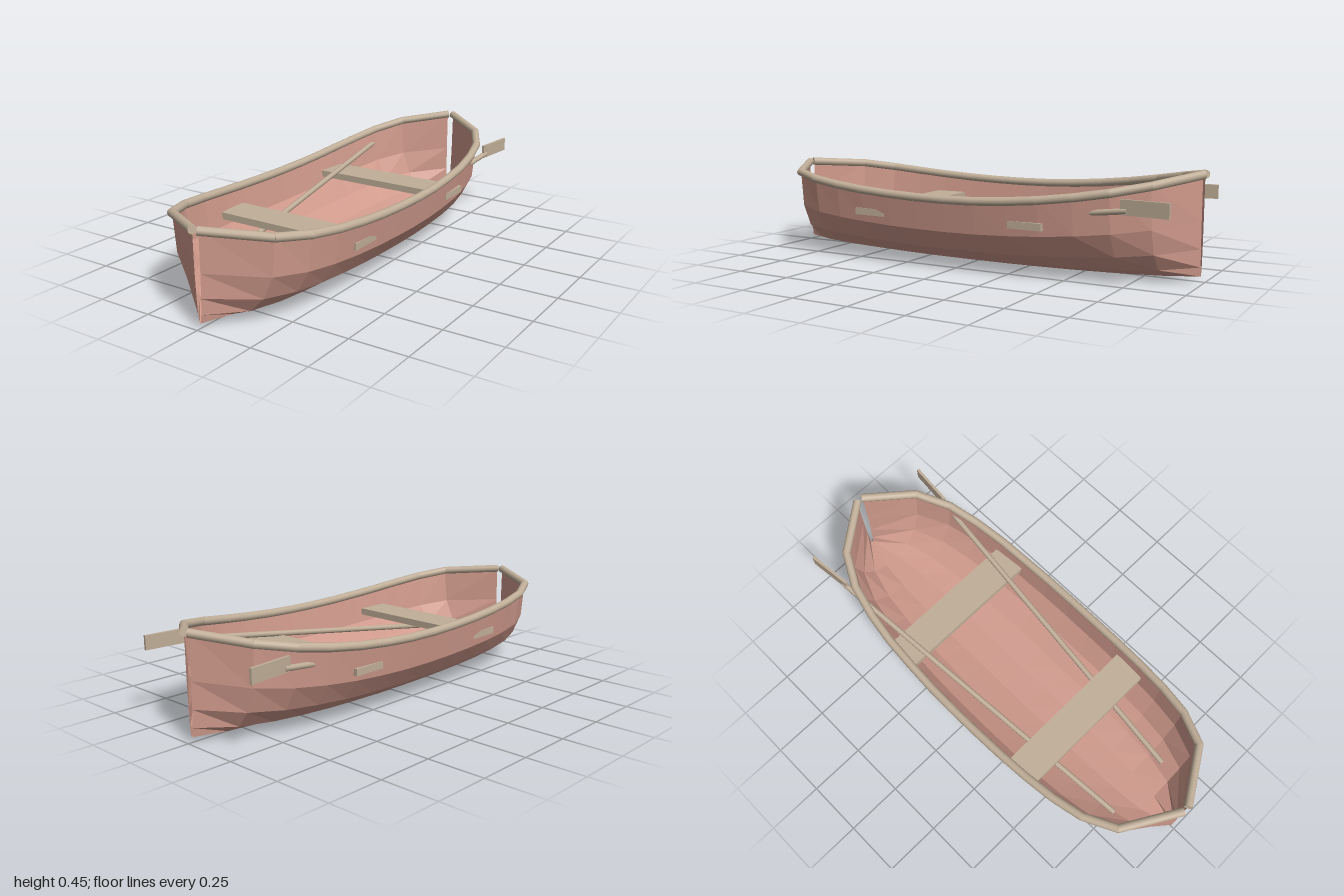
import * as THREE from 'three';

const hullPaint = new THREE.MeshStandardMaterial({ color: 0xd09a8c, flatShading: true, side: THREE.DoubleSide });
const wood = new THREE.MeshStandardMaterial({ color: 0xc0ae98 });

// Half widths of the hull at the sheer line, from stern to bow
const halfWidths = [0.015, 0.21, 0.287, 0.322, 0.343, 0.353, 0.36, 0.362, 0.361, 0.358, 0.351, 0.338, 0.312, 0.247, 0.015];
const LAST = halfWidths.length - 1;
const HALF_LENGTH = 0.982;

const stationZ = (i) => -HALF_LENGTH + (2 * HALF_LENGTH * i) / LAST;
const sheerY = (z) => 0.31 + (z > 0 ? 0.08 : 0.122) * (z / HALF_LENGTH) ** 2;
const keelY = (z) => 0.021 * (z / HALF_LENGTH) ** 2;

// Cylinder running between two points
function rod(name, a, b, radius, sides, overlap = 0) {
  const dir = b.clone().sub(a);
  const mesh = new THREE.Mesh(new THREE.CylinderGeometry(radius, radius, dir.length() + overlap, sides), wood);
  mesh.position.copy(a).add(b).multiplyScalar(0.5);
  mesh.quaternion.setFromUnitVectors(new THREE.Vector3(0, 1, 0), dir.normalize());
  mesh.name = name;
  return mesh;
}

// Open shell lofted through rounded cross-sections, nine planks around
function buildHull() {
  const PLANKS = 9;
  const positions = [];
  const index = [];
  for (let i = 0; i <= LAST; i++) {
    const z = stationZ(i);
    const top = sheerY(z);
    const bottom = keelY(z);
    for (let j = 0; j <= PLANKS; j++) {
      const angle = (Math.PI * j) / PLANKS;
      const drop = Math.max(0, Math.sin(angle)) ** 0.75;
      positions.push(halfWidths[i] * Math.cos(angle), top - (top - bottom) * drop, z);
    }
  }
  for (let i = 0; i < LAST; i++) {
    for (let j = 0; j < PLANKS; j++) {
      const a = i * (PLANKS + 1) + j;
      const b = a + PLANKS + 1;
      index.push(a, a + 1, b, a + 1, b + 1, b);
    }
  }
  const geometry = new THREE.BufferGeometry();
  geometry.setAttribute('position', new THREE.Float32BufferAttribute(positions, 3));
  geometry.setIndex(index);
  geometry.computeVertexNormals();
  const hull = new THREE.Mesh(geometry, hullPaint);
  hull.name = 'hull';
  return hull;
}

// Rail of straight round lengths along one edge of the hull
function buildRail(side) {
  const rail = new THREE.Group();
  rail.name = side > 0 ? 'leftRail' : 'rightRail';
  const point = (i) => new THREE.Vector3(side * halfWidths[i], sheerY(stationZ(i)), stationZ(i));
  for (let i = 0; i < LAST; i++) {
    rail.add(rod('railSegment', point(i), point(i + 1), 0.018, 12, 0.008));
  }
  return rail;
}

// Oar resting inside, passing out near the stern
function buildOar(side) {
  const oar = new THREE.Group();
  oar.name = side > 0 ? 'leftOar' : 'rightOar';
  const grip = new THREE.Vector3(side * 0.155, 0.11, 0.77);
  const neck = new THREE.Vector3(side * 0.302, 0.312, -0.78);
  oar.add(rod('oarShaft', grip, neck, 0.012, 10));
  const blade = new THREE.Mesh(new THREE.BoxGeometry(0.012, 0.06, 0.2), wood);
  blade.position.set(side * 0.31, 0.326, -0.853);
  blade.rotation.y = -side * 0.1;
  blade.name = 'oarBlade';
  oar.add(blade);
  return oar;
}

export function createModel() {
  const boat = new THREE.Group();
  boat.name = 'rowingBoat';
  boat.add(buildHull());

  for (const side of [1, -1]) boat.add(buildRail(side), buildOar(side));

  // Bench seats across the hull
  for (const [name, z] of [['frontSeat', 0.382], ['rearSeat', -0.367]]) {
    const seat = new THREE.Mesh(new THREE.BoxGeometry(0.685, 0.03, 0.15), wood);
    seat.position.set(0, 0.227, z);
    seat.name = name;
    boat.add(seat);
  }
  return boat;
}
